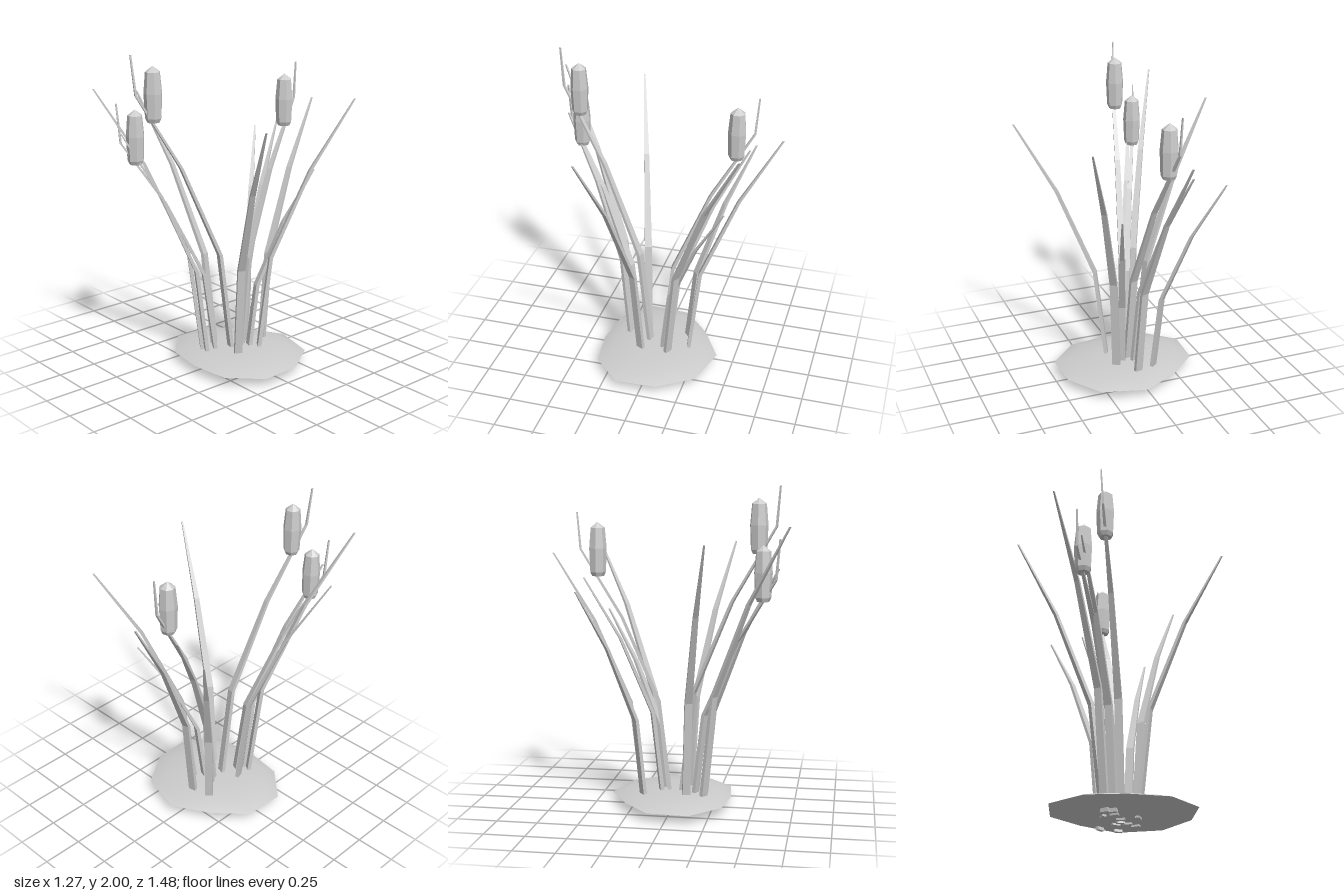
import * as THREE from 'three';

const grey = new THREE.MeshStandardMaterial({ color: 0xcccccc });
grey.name = 'pale grey';

// Skin a stack of rings (bottom to top), with optional end caps.
function loft(rings, { flat = true, bottom = true, top = true } = {}) {
  const n = rings[0].length, pos = [], idx = [];
  rings.forEach(r => r.forEach(p => pos.push(...p)));
  for (let k = 0; k < rings.length - 1; k++) {
    for (let i = 0; i < n; i++) {
      const a = k * n + i, b = k * n + (i + 1) % n;
      idx.push(a, a + n, b, a + n, b + n, b);
    }
  }
  const cap = (k, isTop) => {
    const c = pos.length / 3;
    pos.push(...[0, 1, 2].map(j => rings[k].reduce((s, p) => s + p[j], 0) / n));
    for (let i = 0; i < n; i++) {
      const a = k * n + i, b = k * n + (i + 1) % n;
      idx.push(...(isTop ? [c, b, a] : [c, a, b]));
    }
  };
  if (bottom) cap(0, false);
  if (top) cap(rings.length - 1, true);
  let g = new THREE.BufferGeometry();
  g.setAttribute('position', new THREE.Float32BufferAttribute(pos, 3));
  g.setIndex(idx);
  if (flat) g = g.toNonIndexed();
  g.computeVertexNormals();
  return g;
}

// Shared bend of all leaves: [outward share, height share, width, thickness]
const BEND = [
  [0, 0, 0.05, 0.024],
  [0.14, 0.41, 0.046, 0.022],
  [0.55, 0.74, 0.032, 0.018],
  [1, 1, 0.009, 0.01],
];

// Flat tapering blade from the ground to its tip; the spike rises on top.
function blade([bx, bz], [tx, ty, tz], spike) {
  const len = Math.hypot(tx - bx, tz - bz);
  const dx = (tx - bx) / len, dz = (tz - bz) / len;
  const ring = (x, y, z, w, t) => [[1, 1], [-1, 1], [-1, -1], [1, -1]].map(([u, v]) =>
    [x + (dx * u * t - dz * v * w) / 2, y, z + (dz * u * t + dx * v * w) / 2]);
  const rings = BEND.map(([f, h, w, t]) =>
    ring(bx + (tx - bx) * f, ty * h, bz + (tz - bz) * f, w, t));
  if (spike) {
    rings[3] = ring(tx, ty, tz, 0.013, 0.013);
    rings.push(ring(...spike, 0.007, 0.01));
  }
  return loft(rings);
}

export function createModel() {
  const group = new THREE.Group();
  const add = (geometry, name) => {
    const mesh = new THREE.Mesh(geometry, grey);
    mesh.name = name;
    group.add(mesh);
    return mesh;
  };

  // Ground mound: ten-sided lens
  const rim = [[0.465, 0.15], [0.285, 0.33], [0.035, 0.36], [-0.21, 0.325], [-0.4, 0.15],
    [-0.385, -0.105], [-0.2, -0.27], [0.03, -0.4], [0.31, -0.325], [0.455, -0.105]];
  const disc = (s, y) => rim.map(([x, z]) => [0.035 + (x - 0.035) * s, y, z * s]);
  add(loft([disc(1, 0.057), disc(0.78, 0.088), disc(0.4, 0.099)],
    { flat: false, bottom: false }), 'moundTop');
  add(loft([disc(0.4, 0.012), disc(0.8, 0.033), disc(1, 0.057)],
    { flat: false, top: false }), 'moundUnderside');

  // Leaves: base [x, z], tip [x, y, z]
  [
    [[-0.085, 0.09], [-0.63, 1.68, 0.272]],
    [[0.12, 0.08], [0.63, 1.63, 0.315]],
    [[-0.08, 0.19], [-0.425, 1.775, 0.73]],
    [[-0.085, -0.17], [-0.4, 1.385, -0.52]],
    [[0, -0.065], [-0.19, 1.45, -0.52]],
    [[0.025, -0.2], [-0.087, 1.59, -0.735]],
    [[-0.035, 0.19], [-0.255, 1.525, 0.66]],
    [[0.07, -0.045], [0.223, 1.215, -0.457]],
    [[0.12, -0.085], [0.44, 1.68, -0.58]],
  ].forEach(([base, tip], i) => add(blade(base, tip), `leaf${i + 1}`));

  // Stems with a spike, each carrying a seed head
  const profile = [[0, 0], [0.038, 0], [0.05, 0.025], [0.056, 0.17], [0.045, 0.295], [0, 0.33]]
    .map(([r, y]) => new THREE.Vector2(r, y));
  const headGeometry = new THREE.LatheGeometry(profile, 7).toNonIndexed();
  headGeometry.computeVertexNormals();
  [
    [[0.022, 0.04], [-0.13, 1.765, 0.635], [-0.145, 2, 0.655], [-0.108, 1.6, 0.528]],
    [[0.025, -0.02], [-0.08, 1.615, -0.565], [-0.085, 1.84, -0.583], [-0.06, 1.45, -0.463]],
    [[-0.022, 0.13], [-0.28, 1.46, 0.645], [-0.285, 1.7, 0.667], [-0.24, 1.33, 0.567]],
  ].forEach(([base, tip, spike, head], i) => {
    add(blade(base, tip, spike), `stem${i + 1}`);
    const seedHead = add(headGeometry, `seedHead${i + 1}`);
    seedHead.position.set(...head);
    seedHead.rotation.y = 0.2;
  });

  return group;
}
